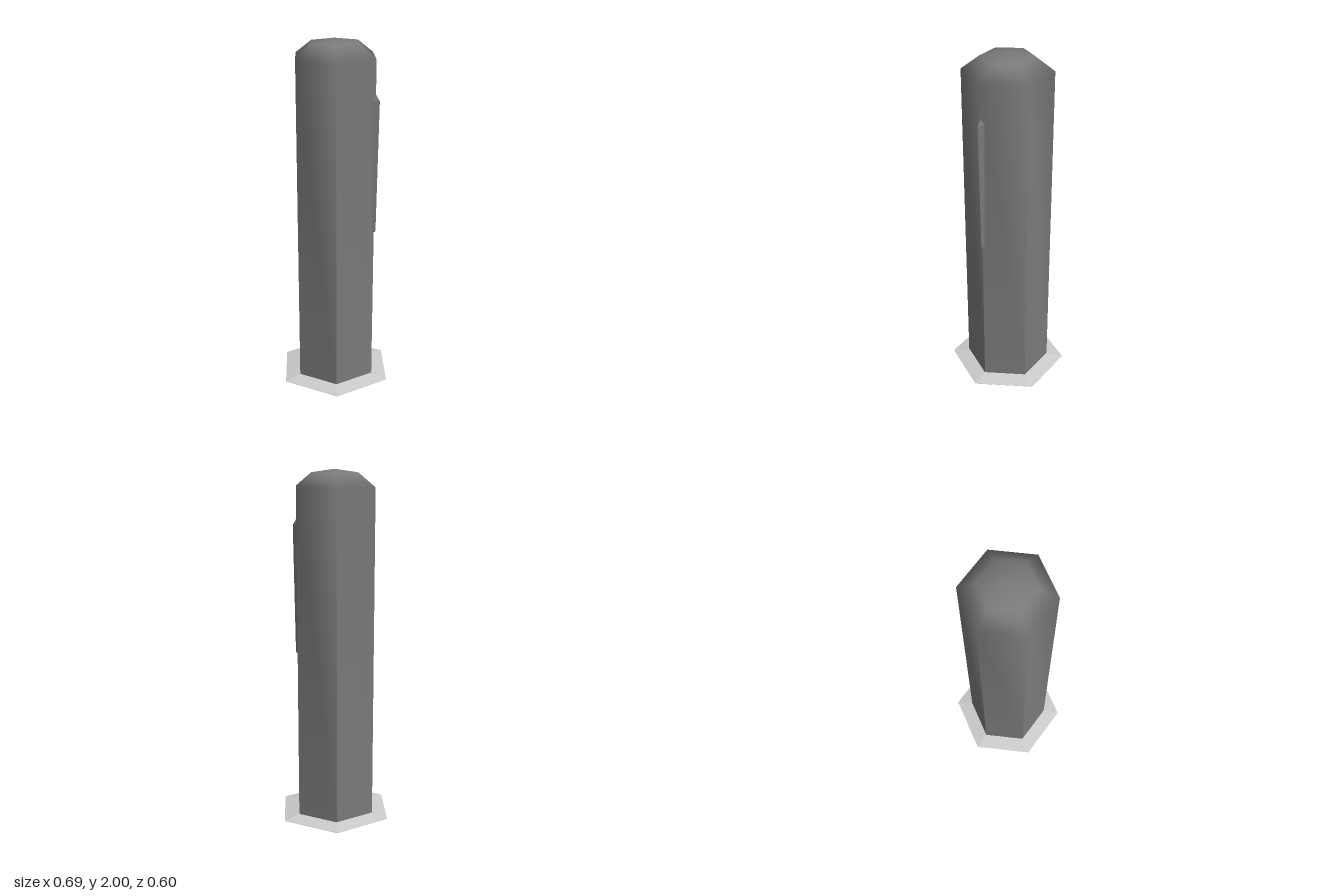
import * as THREE from 'three';
import { mergeVertices } from 'three/addons/utils/BufferGeometryUtils.js';

const darkGrey = new THREE.MeshStandardMaterial({ color: 0x7a7a7a });
const lightGrey = new THREE.MeshStandardMaterial({ color: 0xbcbcbc });

// Solid of revolution with few sides, profile listed bottom to top, a corner on +x
function lathe(profile, sides) {
  const points = profile.map(([r, y]) => new THREE.Vector2(r, y));
  return new THREE.LatheGeometry(points, sides, Math.PI / 2);
}

function flatten(geometry) {
  const flat = geometry.toNonIndexed();
  flat.computeVertexNormals();
  return flat;
}

// Area-weighted smooth normals, with crisp edges below the given height
function smoothAbove(geometry, height) {
  geometry.deleteAttribute('normal');
  geometry.deleteAttribute('uv');
  const welded = mergeVertices(geometry, 1e-4);
  welded.computeVertexNormals();
  const smooth = welded.toNonIndexed();
  const facets = flatten(welded).attributes.normal;
  const { position, normal } = smooth.attributes;
  for (let i = 0; i < position.count; i++) {
    if (position.getY(i) < height) normal.setXYZ(i, facets.getX(i), facets.getY(i), facets.getZ(i));
  }
  return smooth;
}

export function createModel() {
  const group = new THREE.Group();
  const add = (name, geometry, material) => {
    const mesh = new THREE.Mesh(geometry, material);
    mesh.name = name;
    group.add(mesh);
    return mesh;
  };

  // Hexagonal post with a shallow domed top
  const post = lathe([[0.247, 0.015], [0.247, 1.905], [0.147, 1.98], [0, 2]], 6);
  add('post', smoothAbove(post, 0.1), darkGrey);

  // Thin sloping flange with a flat underside
  const flange = lathe([[0, 0], [0.345, 0], [0.345, 0.002], [0.247, 0.02]], 6);
  add('baseFlange', flatten(flange), lightGrey);

  // Slender three-sided spike set against the left corner of the post
  const spike = lathe([[0, 0.93], [0.012, 0.94], [0.024, 1.685], [0, 1.72]], 3);
  add('sideSpike', flatten(spike), darkGrey).position.x = 0.246;

  return group;
}
